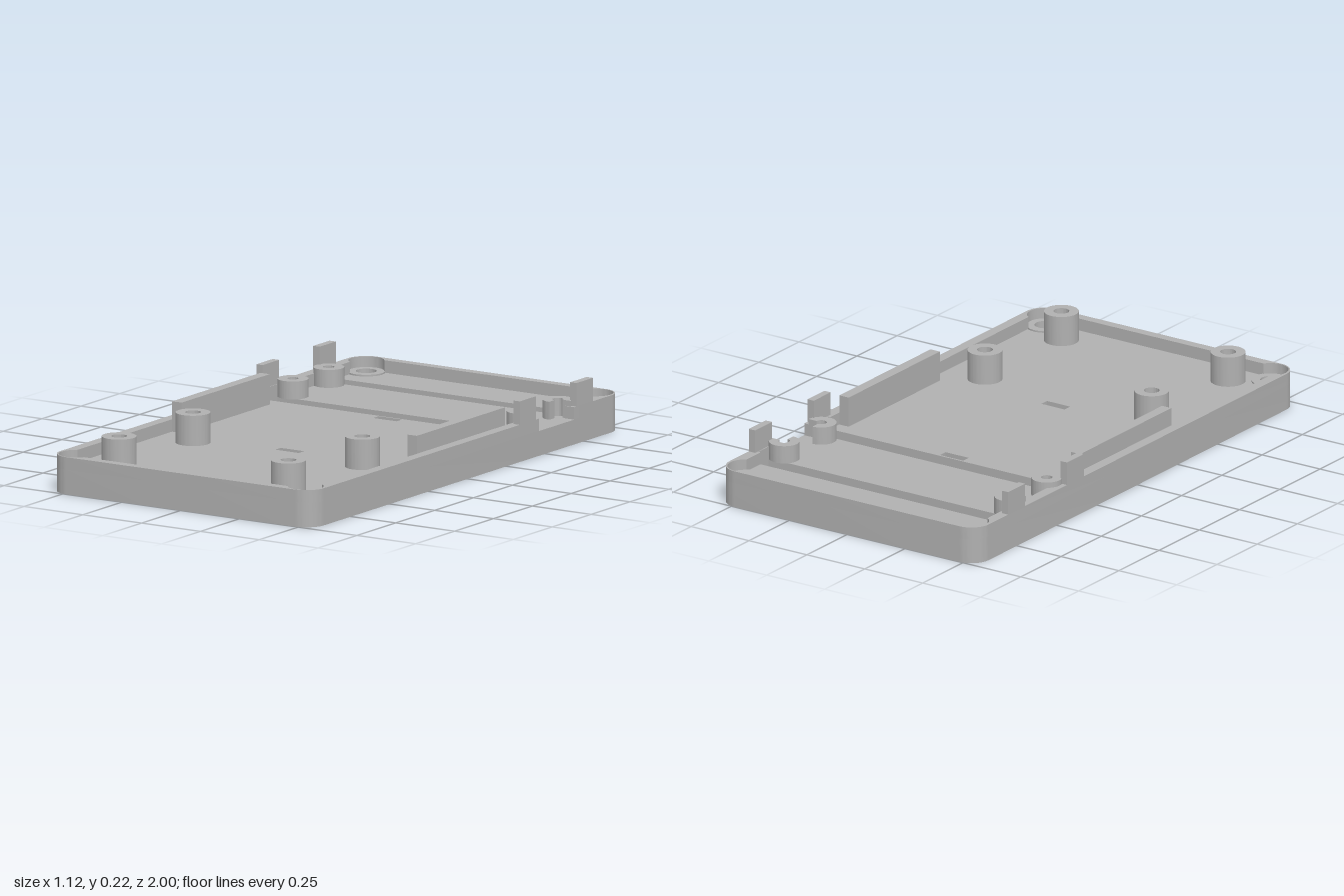
import * as THREE from 'three';
import { toCreasedNormals } from 'three/addons/utils/BufferGeometryUtils.js';

const W = 0.56, L = 1;            // outer half width and half length
const IW = 0.52, IL = 0.965;      // inner half width and half length
const FLOOR_LOW = 0.045, FLOOR_TOP = 0.09, RIM = 0.135;
const SLOTS = [[0.357, 0.425], [0.725, 0.79]];   // cross slots, in plan y (= -z)
const PORT = [0.46, 0.685];                      // side opening, in plan y
const CX = 0.487, CY = 0.931;                    // corner screw centres

export function createModel() {
  const model = new THREE.Group();
  const grey = new THREE.MeshStandardMaterial({ color: 0xb0b0b0 });
  grey.name = 'grey plastic';

  const V = (x, y) => new THREE.Vector2(x, y);
  const add = (name, geometry) => {
    const mesh = new THREE.Mesh(geometry, grey);
    mesh.name = name;
    model.add(mesh);
  };
  // Extrude a plan shape (plan y = -z) between two heights
  const slab = (name, shape, y0, y1) => {
    const g = new THREE.ExtrudeGeometry(shape, { depth: y1 - y0, bevelEnabled: false, curveSegments: 32 });
    g.rotateX(-Math.PI / 2).translate(0, y0, 0);
    add(name, toCreasedNormals(g, 0.6));
  };
  const box = (name, x0, x1, y0, y1, z0, z1) => {
    const g = new THREE.BoxGeometry(x1 - x0, y1 - y0, z1 - z0);
    add(name, g.translate((x0 + x1) / 2, (y0 + y1) / 2, (z0 + z1) / 2));
  };
  const arc = (cx, cy, r, a0, a1, n = 14) => Array.from({ length: n + 1 }, (_, i) => {
    const a = a0 + (a1 - a0) * i / n;
    return V(cx + r * Math.cos(a), cy + r * Math.sin(a));
  });
  const rectHole = (x0, x1, y0, y1) => new THREE.Path([V(x0, y0), V(x0, y1), V(x1, y1), V(x1, y0)]);
  const circleHole = (x, y, r) => new THREE.Path().absarc(x, y, r, 0, Math.PI * 2, true);

  // Rounded outline, counter-clockwise from the right edge
  const outline = (w, l, r) => [[1, 1], [-1, 1], [-1, -1], [1, -1]].flatMap(([sx, sy], i) =>
    arc(sx * (w - r), sy * (l - r), r, i * Math.PI / 2, (i + 1) * Math.PI / 2));

  // Inner wall outline with round corner pockets and slot notches, starting at the port
  const PR = 0.064;
  const aStart = -Math.acos((IW - CX) / PR), aEnd = Math.PI - Math.asin((IL - CY) / PR);
  const pocket = arc(CX, CY, PR, aStart, aEnd, 24);
  const flip = (pts, sx, sy) => {
    const out = pts.map((p) => V(p.x * sx, p.y * sy));
    return sx * sy < 0 ? out.reverse() : out;
  };
  const notch = ([a, b]) => [V(IW, a), V(0.53, a), V(0.53, b), V(IW, b)];
  const inner = [
    ...notch(SLOTS[1]), ...pocket,
    ...flip(pocket, -1, 1),
    ...flip([...notch(SLOTS[0]), ...notch(SLOTS[1])], -1, 1),
    ...flip(pocket, -1, -1), ...flip(pocket, 1, -1),
    ...notch(SLOTS[0]),
  ];
  const outer = outline(W, L, 0.075);

  // Lower wall, a closed ring
  const ring = new THREE.Shape(outer);
  ring.holes.push(new THREE.Path([...inner].reverse()));
  slab('lowerWall', ring, 0, FLOOR_TOP);

  // Upper wall, opened at the side port
  slab('upperWall', new THREE.Shape([
    V(W, PORT[1]), ...outer, V(W, PORT[0]),
    V(IW, PORT[0]), ...[...inner].reverse(), V(IW, PORT[1]),
  ]), FLOOR_TOP, RIM);

  // Floor plate with cross slots, tie slots and screw holes
  const floor = new THREE.Shape(outline(0.552, 0.992, 0.068));
  for (const [a, b] of SLOTS) floor.holes.push(rectHole(-0.53, 0.53, a, b));
  floor.holes.push(rectHole(-0.05, 0.05, 0.315, 0.35), rectHole(-0.05, 0.05, -0.315, -0.28));
  for (const sx of [-1, 1]) for (const sy of [-1, 1]) floor.holes.push(circleHole(sx * CX, sy * CY, 0.037));
  slab('floor', floor, FLOOR_LOW, FLOOR_TOP);

  // Hollow round boss
  const boss = (name, x, y, r, hole, top) => {
    const s = new THREE.Shape().absarc(x, y, r, 0, Math.PI * 2, false);
    s.holes.push(circleHole(x, y, hole));
    slab(name, s, FLOOR_TOP, top);
  };

  for (const s of [-1, 1]) {
    // Slightly raised pads around the corner screws
    for (const sy of [-1, 1]) {
      const pad = new THREE.Shape().absarc(s * CX, sy * CY, 0.067, 0, Math.PI * 2, false);
      pad.holes.push(circleHole(s * CX, sy * CY, 0.037));
      slab('cornerPad', pad, FLOOR_LOW - 0.006, FLOOR_TOP + 0.006);
    }
    // Tall board bosses
    for (const y of [-0.375, -0.85]) boss('tallBoss', s * 0.36, y, 0.062, 0.028, 0.2);
    // Side rails and wall tabs
    const span = (a, b) => (s > 0 ? [a, b] : [-b, -a]);
    box('sideRail', ...span(0.48, 0.52), FLOOR_TOP, 0.2, -0.3, 0.267);
    for (const [z0, z1] of [[-0.44, -0.335], [-0.805, -0.7]]) {
      box('wallTab', ...span(0.533, W), RIM, 0.22, z0, z1);
    }
  }

  // Low bosses: whole on one side, with a quarter cut away beside the port
  for (const [y, a] of [[0.46, Math.PI / 2], [0.69, 0]]) {
    boss('lowBoss', -0.487, y, 0.055, 0.02, 0.155);
    const end = a + Math.PI * 1.5;
    slab('cutLowBoss', new THREE.Shape([
      ...arc(0.487, y, 0.055, a, end, 36), ...arc(0.487, y, 0.02, end, a, 24),
    ]), FLOOR_TOP, 0.155);
  }
  return model;
}
